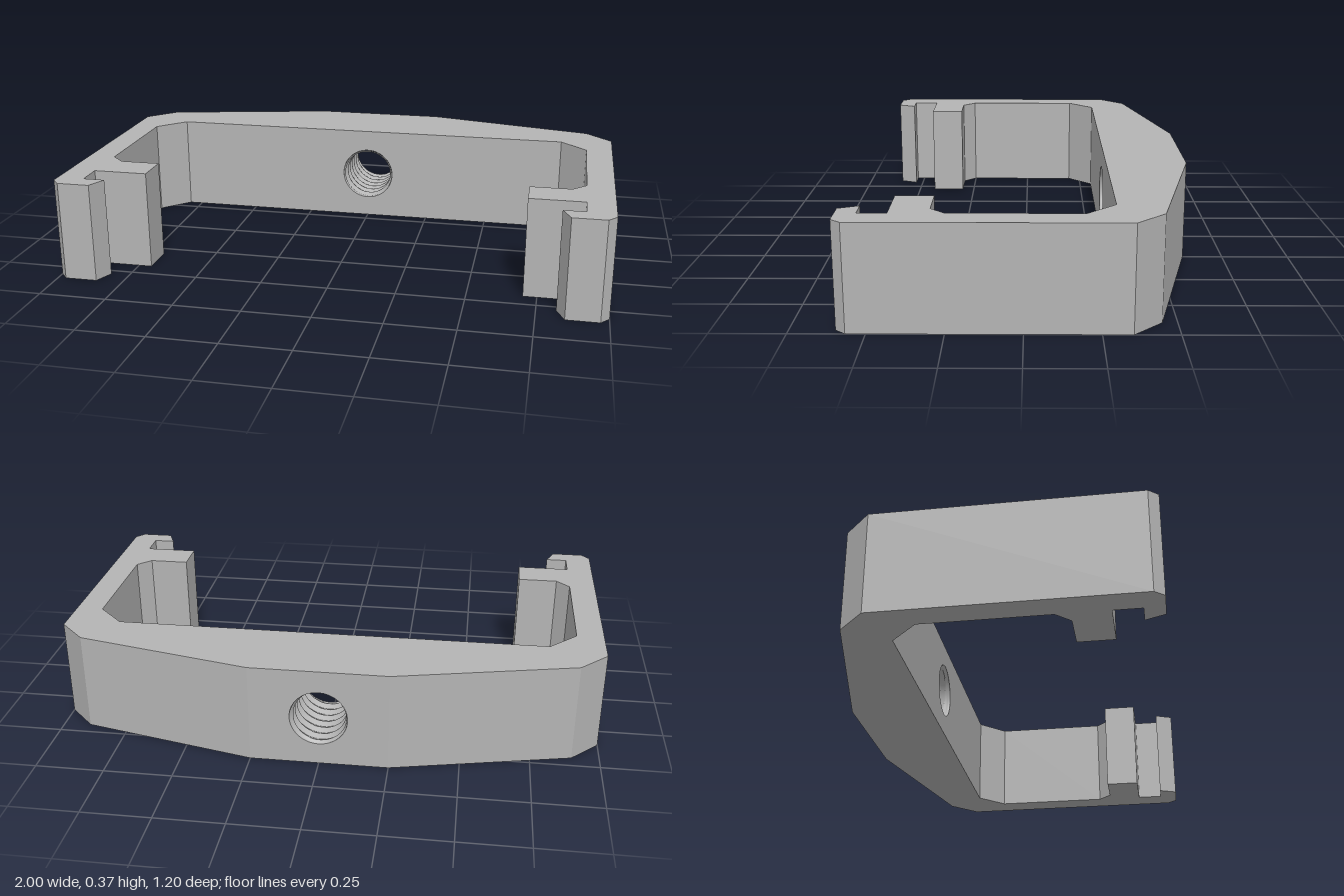
import * as THREE from 'three';
import { ParametricGeometry } from 'three/addons/geometries/ParametricGeometry.js';

const H = 0.37;        // height of the bracket
const HOLE_Y = 0.184;  // centre height of the threaded hole
const BACK = -0.6, INNER = -0.3;

// Plan outline (x, z) of one arm, from the back plate round to the hooked tip
const ARM = [
  [0.25, BACK], [0.9, -0.45], [1, -0.35], [1, 0.565], [0.97, 0.6], [0.85, 0.6],
  [0.82, 0.53], [0.9, 0.53], [0.9, 0.432], [0.7, 0.432], [0.7, 0.3], [0.85, 0.3],
  [0.9, 0.25], [0.9, -0.2], [0.8, INNER], [0.25, INNER],
];

export function createModel() {
  const group = new THREE.Group();
  const grey = new THREE.MeshStandardMaterial({ color: 0xb4b4b4 });
  const add = (name, geometry) => {
    const mesh = new THREE.Mesh(geometry, grey);
    mesh.name = name;
    group.add(mesh);
  };

  // Two mirrored arms with inner ledge and hooked tip
  for (const side of [1, -1]) {
    const shape = new THREE.Shape(ARM.map(([x, z]) => new THREE.Vector2(side * x, -z)));
    const arm = new THREE.ExtrudeGeometry(shape, { depth: H, bevelEnabled: false });
    arm.rotateX(-Math.PI / 2);
    add(side > 0 ? 'leftArm' : 'rightArm', arm);
  }

  // Thick middle of the back plate, bored from back to front
  const plate = new THREE.Shape([
    new THREE.Vector2(-0.25, 0), new THREE.Vector2(0.25, 0),
    new THREE.Vector2(0.25, H), new THREE.Vector2(-0.25, H),
  ]);
  const bore = new THREE.Path();
  bore.absarc(0, HOLE_Y, 0.104, 0, Math.PI * 2, true);
  plate.holes.push(bore);
  const middle = new THREE.ExtrudeGeometry(plate, {
    depth: INNER - BACK, bevelEnabled: false, curveSegments: 48,
  });
  middle.translate(0, 0, BACK);
  add('backPlate', middle);

  // Helical screw thread lining the bore, fading out at both mouths
  const turns = 7;
  const thread = new ParametricGeometry((u, v, p) => {
    const a = -u * Math.PI * 2;
    const phase = (((v * turns + u) % 1) + 1) % 1;
    const ridge = 1 - Math.abs(phase * 2 - 1);
    const fade = Math.min(1, v * 25, (1 - v) * 25);
    const r = 0.1035 - 0.011 * ridge * fade;
    p.set(r * Math.cos(a), HOLE_Y + r * Math.sin(a), BACK + (INNER - BACK) * v);
  }, 48, turns * 12);
  add('screwThread', thread);

  return group;
}
